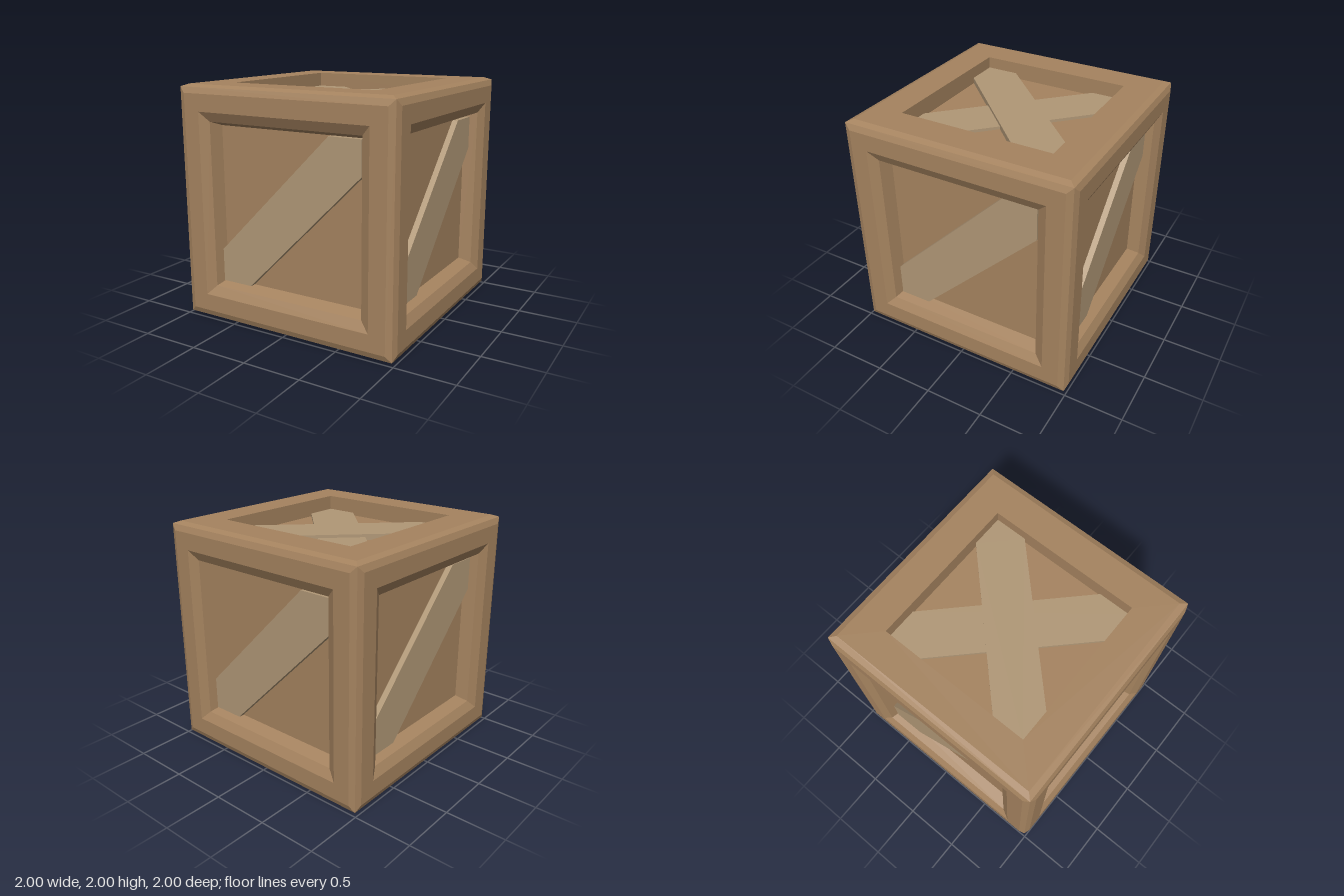
import * as THREE from 'three';

const wood = new THREE.MeshStandardMaterial({ color: 0xa5835f, flatShading: true });
const plank = new THREE.MeshStandardMaterial({ color: 0xb09776, flatShading: true });

const HOLE = 0.667;   // half width of the recess
const PANEL = 0.85;   // distance of the panels from the centre
const BAR = 0.385;    // where a brace edge meets the recess wall

// Outer rounding, then the recess: [half width, distance from centre]
const rim = [[0.98, 0.98], [0.93, 1]];
const chamferedRecess = [[0.785, 1], [0.705, 0.958], [HOLE, PANEL]];
const straightRecess = [[HOLE, 1], [HOLE, PANEL]];

function mesh(name, geometry, material) {
  const m = new THREE.Mesh(geometry, material);
  m.name = name;
  return m;
}

// Square frame: a four-sided lathe facing +z
function frameGeometry(profile) {
  const points = profile.map(([r, d]) => new THREE.Vector2(r * Math.SQRT2, d));
  const g = new THREE.LatheGeometry(points, 4, Math.PI / 4).rotateX(Math.PI / 2).toNonIndexed();
  g.computeVertexNormals();
  return g;
}

// Diagonal brace with its ends cut to fit the recess corners
function braceGeometry(thickness) {
  const shape = new THREE.Shape([
    [-HOLE, -HOLE], [-BAR, -HOLE], [HOLE, BAR], [HOLE, HOLE], [BAR, HOLE], [-HOLE, -BAR],
  ].map(([x, y]) => new THREE.Vector2(x, y)));
  return new THREE.ExtrudeGeometry(shape, { depth: thickness, bevelEnabled: false })
    .translate(0, 0, PANEL);
}

function crateSide(name, recess, crossed) {
  const side = new THREE.Group();
  side.name = name;
  side.add(mesh('frame', frameGeometry([...rim, ...recess]), wood));
  side.add(mesh('panel', new THREE.PlaneGeometry(2 * HOLE, 2 * HOLE).translate(0, 0, PANEL), wood));
  side.add(mesh('brace', braceGeometry(0.05), plank));
  if (crossed) {
    side.add(mesh('crossBrace', braceGeometry(0.025).rotateZ(Math.PI / 2), plank));
  }
  return side;
}

export function createModel() {
  const crate = new THREE.Group();
  crate.name = 'crate';

  // Four walls with a single brace each
  ['frontWall', 'leftWall', 'backWall', 'rightWall'].forEach((name, i) => {
    const wall = crateSide(name, chamferedRecess, false);
    wall.rotation.y = i * Math.PI / 2;
    crate.add(wall);
  });

  // Lid and base with crossed braces
  const lid = crateSide('lid', straightRecess, true);
  lid.rotation.x = -Math.PI / 2;
  const base = crateSide('base', chamferedRecess, true);
  base.rotation.x = Math.PI / 2;
  crate.add(lid, base);

  crate.children.forEach((side) => { side.position.y = 1; });
  return crate;
}
